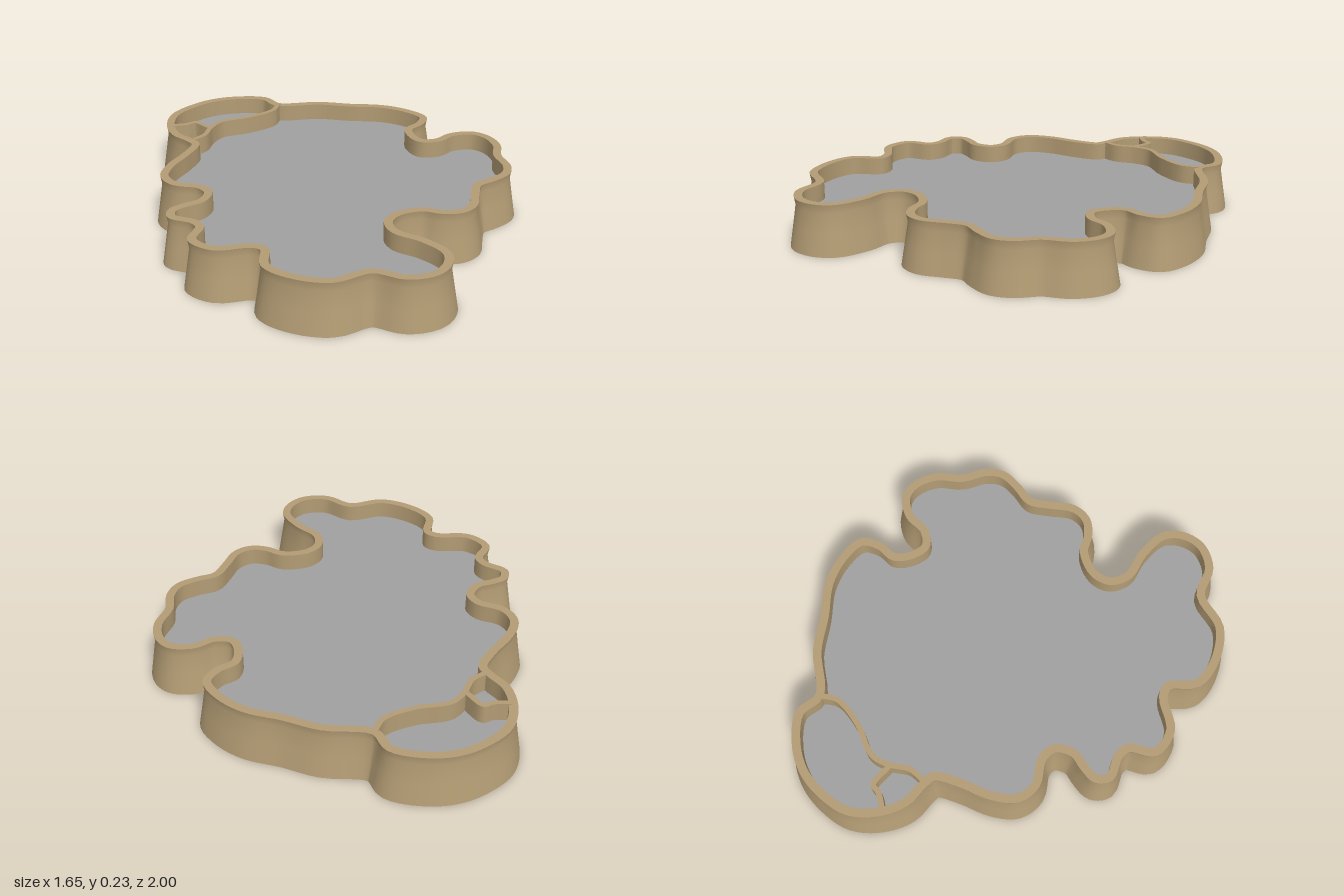
import * as THREE from 'three';

const stone = new THREE.MeshStandardMaterial({ color: 0xb39c74, side: THREE.DoubleSide });
stone.name = 'sandstone';
const water = new THREE.MeshStandardMaterial({ color: 0xa0a0a0, side: THREE.DoubleSide });
water.name = 'grey water';

// Centre line of the rim, clockwise from the back left lobe: x, z in hundredths
const RIM = [
  -46, -96, -31, -94, -24, -85, -3, -85, 13, -81, 29, -78, 41, -71, 48, -62, 45, -54, 39, -48,
  39, -40, 43, -33, 51, -33, 59, -39, 69, -40, 75, -35, 78, -25, 76, -13, 78, -2, 76, 6,
  69, 12, 61, 17, 58, 26, 55, 37, 49, 42, 41, 42, 33, 39, 22, 42, 17, 49, 19, 58,
  29, 66, 37, 77, 36, 86, 30, 93, 19, 95, 6, 89, -10, 95, -26, 90, -35, 81, -35, 68,
  -40, 65, -55, 66, -64, 58, -61, 47, -64, 42, -73, 37, -73, 31, -68, 27, -61, 23, -58, 15,
  -62, 9, -73, 5, -78, -3, -76, -14, -69, -27, -65, -38, -68, -43, -75, -51, -78, -63, -76, -76,
  -68, -86, -58, -93,
];

// Ridges that split off the back left pools
const RIDGES = {
  largePoolRidge: [-24, -85, -27, -77, -39, -69, -53, -64, -58, -57, -61, -48, -66, -43],
  smallPoolRidge: [-77, -61, -70, -62, -66, -64, -59, -57],
};

const FLOOR_Y = 0.15, TOP_Y = 0.23;

function curveFrom(flat, closed) {
  const points = [];
  for (let i = 0; i < flat.length; i += 2) {
    points.push(new THREE.Vector3(flat[i] / 100, 0, flat[i + 1] / 100));
  }
  return new THREE.CatmullRomCurve3(points, closed, 'centripetal');
}

// Sweeps a profile of [outward offset, height] pairs along a flat curve
function sweep(curve, profile, steps) {
  const closed = curve.closed, rows = closed ? steps : steps + 1, n = profile.length;
  const position = [], index = [];
  for (let i = 0; i < rows; i++) {
    const p = curve.getPoint(i / steps), t = curve.getTangent(i / steps);
    for (const [out, y] of profile) position.push(p.x + t.z * out, y, p.z - t.x * out);
  }
  for (let i = 0; i < steps; i++) {
    for (let j = 0; j < n - 1; j++) {
      const a = i * n + j, b = ((i + 1) % (closed ? rows : rows + 1)) * n + j;
      index.push(a, a + 1, b, b, a + 1, b + 1);
    }
  }
  const geometry = new THREE.BufferGeometry();
  geometry.setAttribute('position', new THREE.Float32BufferAttribute(position, 3));
  geometry.setIndex(index);
  geometry.computeVertexNormals();
  return geometry;
}

export function createModel() {
  const group = new THREE.Group();
  const add = (name, geometry, material, parent = group) => {
    const mesh = new THREE.Mesh(geometry, material);
    mesh.name = name;
    parent.add(mesh);
  };

  // Border: separate strips keep the edges of the rim sharp
  const rim = curveFrom(RIM, true);
  add('outerWall', sweep(rim, [[0.045, 0], [0.028, 0.1], [0.013, 0.19], [0.02, TOP_Y]], 310), stone);
  add('rimTop', sweep(rim, [[0.02, TOP_Y], [-0.018, TOP_Y]], 310), stone);
  add('innerWall', sweep(rim, [[-0.018, TOP_Y], [-0.018, FLOOR_Y]], 310), stone);

  // Narrow ridges between the pools
  for (const [name, flat] of Object.entries(RIDGES)) {
    const ridge = new THREE.Group();
    ridge.name = name;
    group.add(ridge);
    const curve = curveFrom(flat, false), w = 0.012, y = TOP_Y + 0.004;
    add('ridgeOuterSide', sweep(curve, [[w, FLOOR_Y], [w, y]], 60), stone, ridge);
    add('ridgeTop', sweep(curve, [[w, y], [-w, y]], 60), stone, ridge);
    add('ridgeInnerSide', sweep(curve, [[-w, y], [-w, FLOOR_Y]], 60), stone, ridge);
  }

  // Water surface fills the rim outline
  const outline = [];
  for (let i = 0; i < 310; i++) {
    const p = rim.getPoint(i / 310), t = rim.getTangent(i / 310);
    outline.push(new THREE.Vector2(p.x - t.z * 0.014, -(p.z + t.x * 0.014)));
  }
  const surface = new THREE.ShapeGeometry(new THREE.Shape(outline));
  surface.rotateX(-Math.PI / 2).translate(0, FLOOR_Y, 0);
  add('waterSurface', surface, water);

  return group;
}
